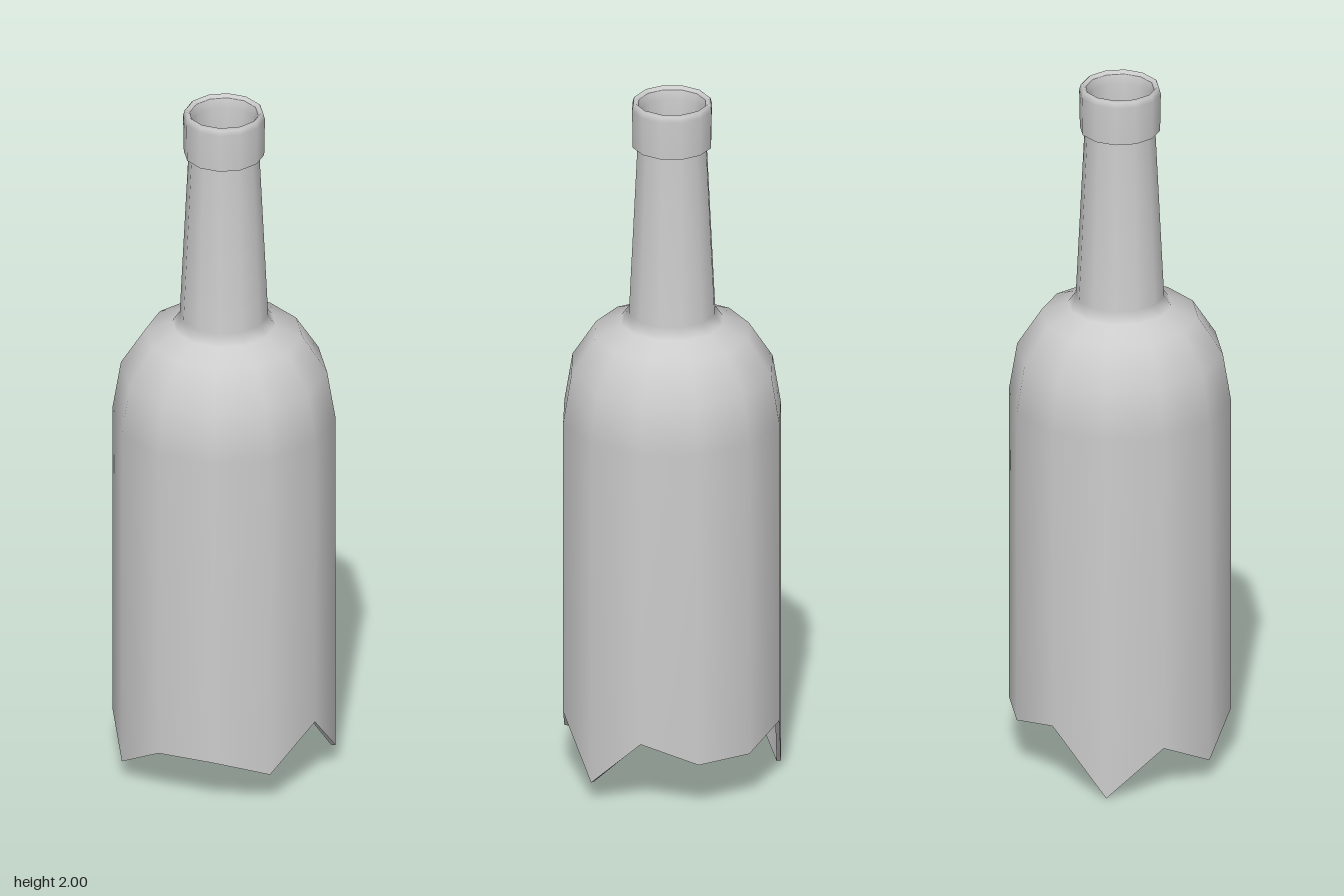
import * as THREE from 'three';

const SIDES = 12;
// Height of the broken edge at each corner, turning from +z towards +x
const BREAK = [0.15, 0.10, 0.21, 0.06, 0.21, 0.15, 0.15, 0.19, 0, 0.14, 0.06, 0.15];

const glass = new THREE.MeshStandardMaterial({ color: 0xcccccc });
const fracture = new THREE.MeshStandardMaterial({ color: 0xcccccc, flatShading: true });

// Turned part; profile points at y = 0 are moved to the broken edge
function turned(name, profile, material = glass) {
  const points = profile.map(([r, y]) => new THREE.Vector2(r, y));
  const geometry = new THREE.LatheGeometry(points, SIDES);
  const pos = geometry.attributes.position;
  for (let i = 0; i < pos.count; i++) {
    const row = i % points.length;
    const corner = Math.floor(i / points.length) % SIDES;
    if (points[row].y === 0) pos.setY(i, BREAK[corner]);
  }
  geometry.computeBoundingSphere();
  const mesh = new THREE.Mesh(geometry, material);
  mesh.name = name;
  return mesh;
}

export function createModel() {
  const bottle = new THREE.Group();
  bottle.name = 'brokenBottle';

  bottle.add(
    // Body, shoulder and neck
    turned('outerWall', [
      [0.305, 0], [0.305, 1.07], [0.282, 1.21], [0.215, 1.315],
      [0.142, 1.345], [0.121, 1.375], [0.097, 1.87],
    ]),
    // Hollow inside, from the mouth down to the break
    turned('innerWall', [
      [0.094, 1.99], [0.087, 1.965], [0.085, 1.87], [0.108, 1.37],
      [0.132, 1.333], [0.206, 1.303], [0.271, 1.204], [0.293, 1.068], [0.293, 0],
    ]),
    // Jagged thickness of the glass
    turned('brokenEdge', [[0.293, 0], [0.305, 0]], fracture),
    // Lip around the mouth
    turned('lipUnderside', [[0.095, 1.87], [0.11, 1.87]]),
    turned('lipBand', [[0.11, 1.87], [0.112, 1.98], [0.108, 1.995], [0.102, 2], [0.094, 1.99]]),
  );
  return bottle;
}
